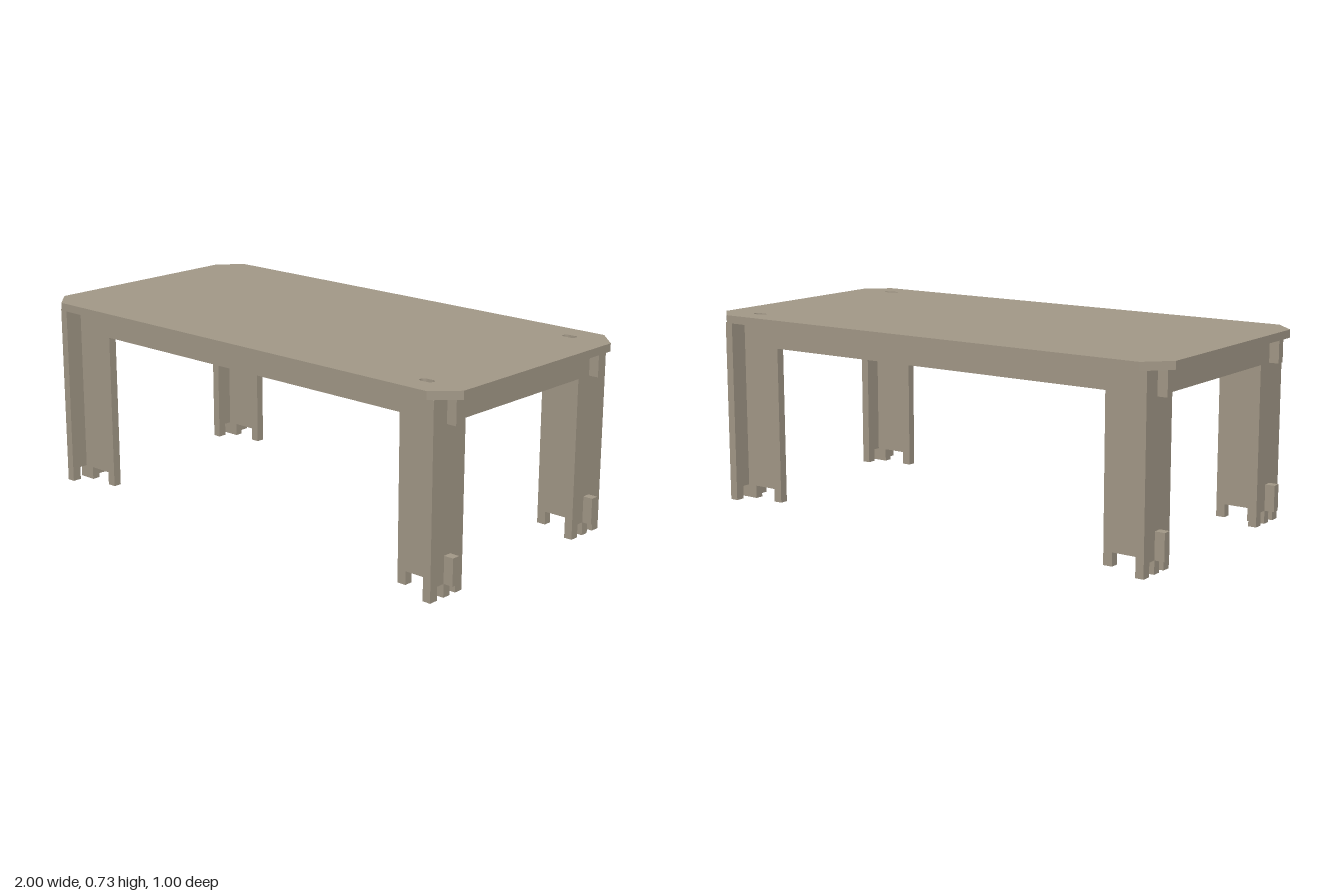
import * as THREE from 'three';

const THICK = 0.032;

// Closed shape from the right half of an outline, mirrored about x = 0
function mirroredShape(half) {
  const mirrored = half.map(([x, y]) => [-x, y]).reverse();
  return new THREE.Shape([...half, ...mirrored].map(([x, y]) => new THREE.Vector2(x, y)));
}

// Flat board cut from a shape, centred on its thickness
function board(shape, thickness) {
  const geometry = new THREE.ExtrudeGeometry(shape, { depth: thickness, bevelEnabled: false, curveSegments: 8 });
  return geometry.translate(0, 0, -thickness / 2);
}

// Rounded slot, long in x
function slot(cx, cy, halfLength, radius) {
  const path = new THREE.Path();
  const reach = halfLength - radius;
  path.absarc(cx + reach, cy, radius, -Math.PI / 2, Math.PI / 2);
  path.absarc(cx - reach, cy, radius, Math.PI / 2, Math.PI * 1.5);
  path.closePath();
  return path;
}

export function createModel() {
  const group = new THREE.Group();
  const wood = new THREE.MeshStandardMaterial({ color: 0xa39988 });
  wood.name = 'greyBrownWood';

  function add(name, geometry, x, y, z) {
    const mesh = new THREE.Mesh(geometry, wood);
    mesh.name = name;
    mesh.position.set(x, y, z);
    group.add(mesh);
    return mesh;
  }

  // Tabletop with clipped corners and two slots at one end
  const top = mirroredShape([[0.915, -0.5], [1, -0.415], [1, 0.415], [0.915, 0.5]]);
  for (const s of [-1, 1]) top.holes.push(slot(0.835, s * 0.4, 0.028, 0.016));
  add('tabletop', board(top, 0.03).rotateX(-Math.PI / 2), 0, 0.714, 0);

  // Long panels: rail and two notched legs, with tabs passing through the end panels
  const longPanel = board(mirroredShape([
    [0.735, 0.605], [0.735, 0], [0.77, 0], [0.77, 0.05], [0.865, 0.05], [0.865, 0],
    [0.935, 0], [0.935, 0.05], [0.973, 0.05], [0.973, 0.15], [0.905, 0.15],
    [0.905, 0.605], [0.973, 0.605], [0.973, 0.699], 
  ]), THICK);

  // End panels: rail and two notched legs
  const endPanel = board(mirroredShape([
    [0.32, 0.605], [0.32, 0], [0.355, 0], [0.355, 0.05], [0.45, 0.05], [0.45, 0],
    [0.486, 0], [0.486, 0.699],
  ]), THICK).rotateY(Math.PI / 2);

  for (const s of [-1, 1]) {
    add(s > 0 ? 'frontPanel' : 'backPanel', longPanel, 0, 0, s * 0.401);
    add(s > 0 ? 'leftEndPanel' : 'rightEndPanel', endPanel, s * 0.919, 0, 0);
  }
  return group;
}
